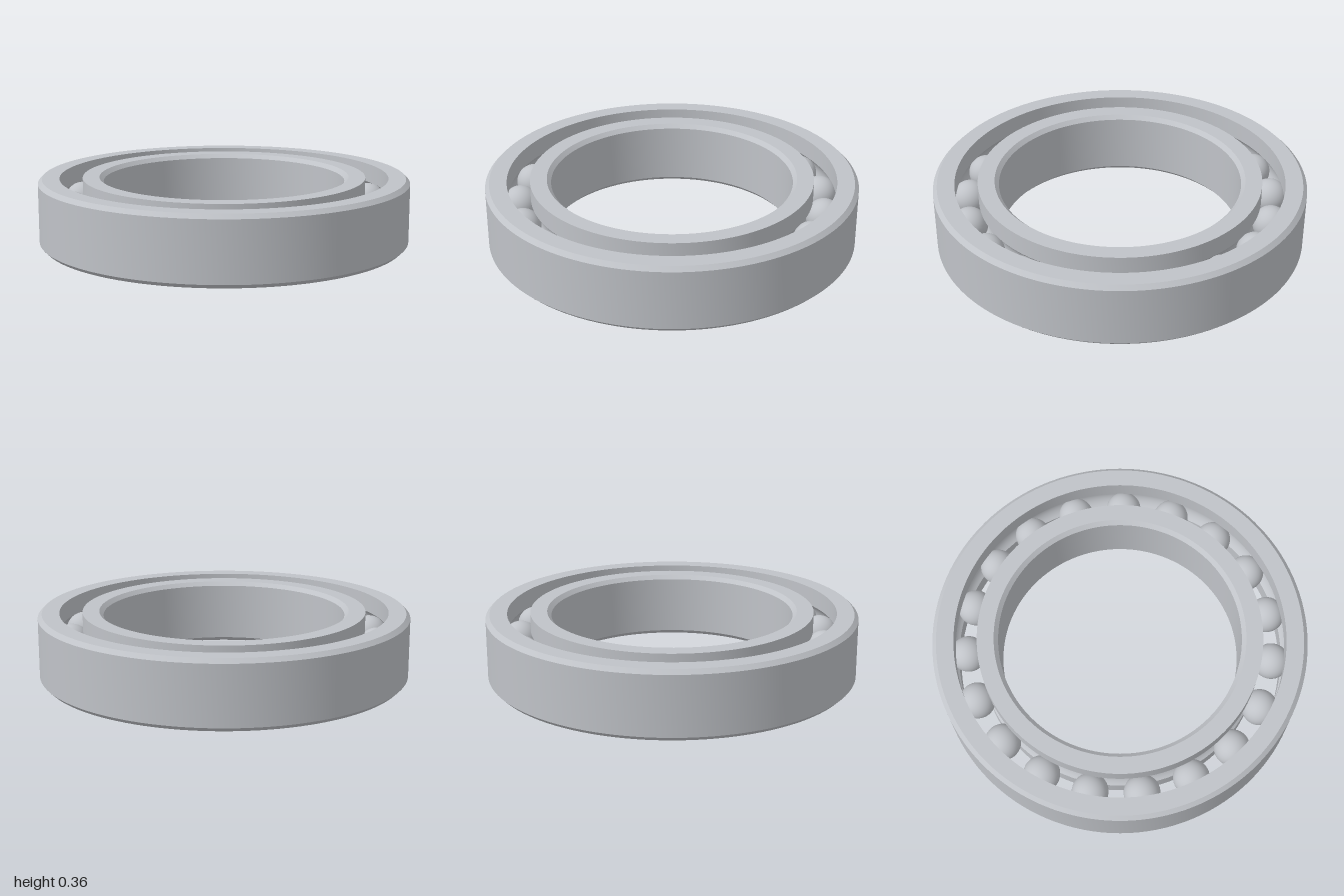
import * as THREE from 'three';
import { toCreasedNormals } from 'three/addons/utils/BufferGeometryUtils.js';

const HEIGHT = 0.36, CHAMFER = 0.022;
const PITCH = 0.825, BALL_RADIUS = 0.097, BALL_COUNT = 19;

// Ring section: chamfered at the free wall, with a round raceway groove in the shoulder wall.
function ringGeometry(wall, shoulder) {
  const toWall = Math.sign(wall - shoulder);
  const mid = HEIGHT / 2, grooveRadius = BALL_RADIUS + 0.001;
  const spread = Math.acos(Math.abs(PITCH - shoulder) / grooveRadius);
  const points = [
    [shoulder, 0],
    [wall - toWall * CHAMFER, 0],
    [wall, CHAMFER],
    [wall, HEIGHT - CHAMFER],
    [wall - toWall * CHAMFER, HEIGHT],
    [shoulder, HEIGHT],
  ];
  const steps = 14;
  for (let i = 0; i <= steps; i++) {
    const a = spread * (1 - (2 * i) / steps);
    points.push([PITCH + toWall * grooveRadius * Math.cos(a), mid + grooveRadius * Math.sin(a)]);
  }
  points.push([shoulder, 0]);
  // Keep the section counter-clockwise so the faces point outwards
  if (toWall < 0) points.reverse();
  const profile = points.map(([x, y]) => new THREE.Vector2(x, y));
  return toCreasedNormals(new THREE.LatheGeometry(profile, 128), 0.5);
}

export function createModel() {
  const model = new THREE.Group();
  model.name = 'ballBearing';
  const steel = new THREE.MeshStandardMaterial({ color: 0xc0c3c8 });
  steel.name = 'steel';

  const add = (name, geometry, parent = model) => {
    const mesh = new THREE.Mesh(geometry, steel);
    mesh.name = name;
    parent.add(mesh);
    return mesh;
  };

  // Races
  add('outerRing', ringGeometry(1, 0.885));
  add('innerRing', ringGeometry(0.65, 0.762));

  // Balls evenly spaced in the raceway
  const balls = new THREE.Group();
  balls.name = 'balls';
  model.add(balls);
  const ballGeometry = new THREE.SphereGeometry(BALL_RADIUS, 32, 20);
  for (let i = 0; i < BALL_COUNT; i++) {
    const a = (i / BALL_COUNT) * Math.PI * 2;
    add('ball', ballGeometry, balls).position.set(PITCH * Math.cos(a), HEIGHT / 2, PITCH * Math.sin(a));
  }
  return model;
}
